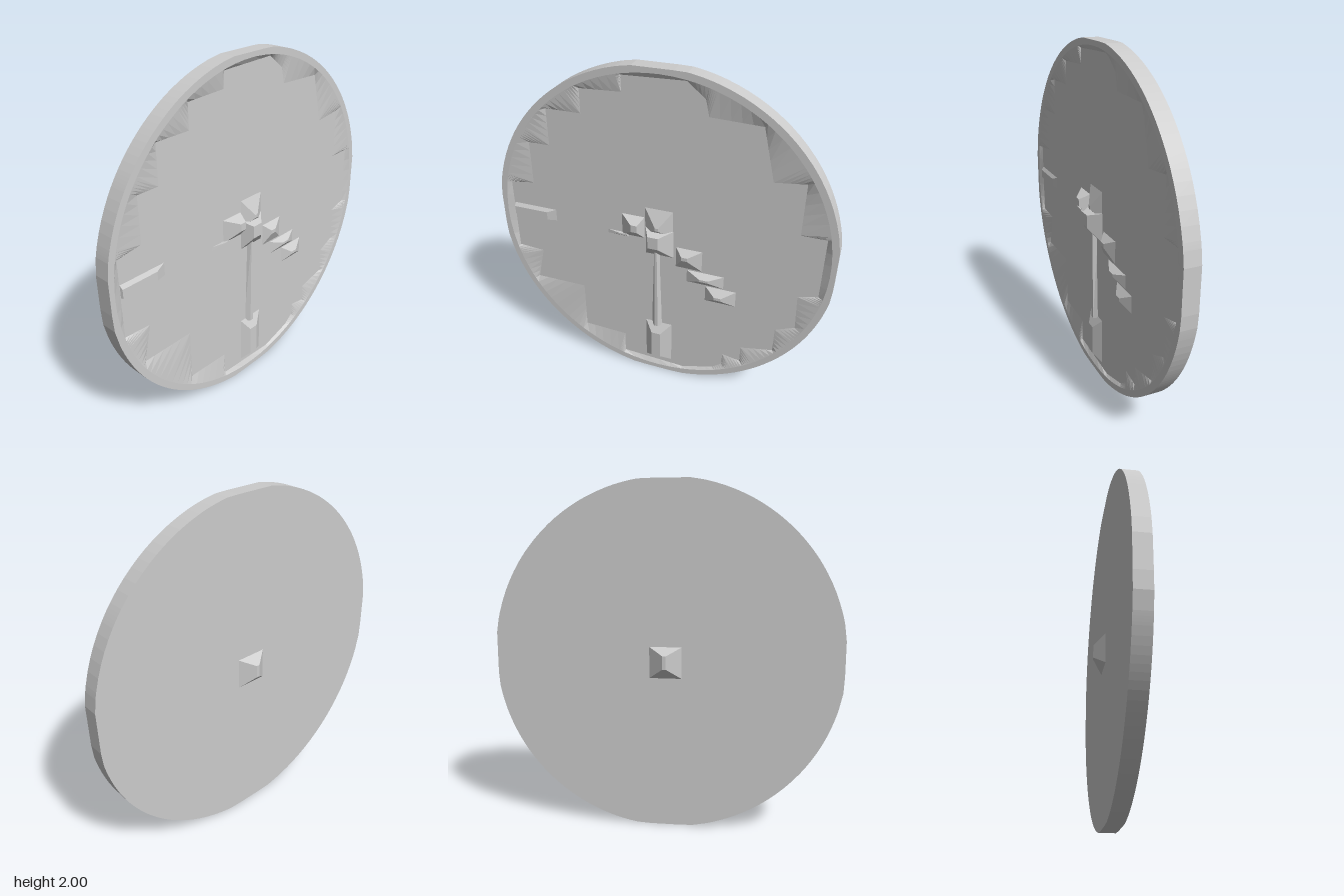
import * as THREE from 'three';

const material = new THREE.MeshStandardMaterial({ color: 0xcccccc, flatShading: true });

// Closed skin through equal-length loops of [x, y, z] points
function skin(loops) {
  const n = loops[0].length, index = [];
  for (let r = 0; r < loops.length - 1; r++) {
    for (let i = 0; i < n; i++) {
      const a = r * n + i, b = r * n + (i + 1) % n;
      index.push(a, b, a + n, b, b + n, a + n);
    }
  }
  const geometry = new THREE.BufferGeometry();
  geometry.setAttribute('position', new THREE.Float32BufferAttribute(loops.flat(2), 3));
  geometry.setIndex(index);
  const flat = geometry.toNonIndexed();
  flat.computeVertexNormals();
  return flat;
}

// Box whose outer end shrinks to (sx, sy) of its size and shifts by (dx, dy)
function facet(name, [x0, x1], [y0, y1], [z0, z1], [sx, sy], [dx, dy] = [0, 0]) {
  const w = x1 - x0, h = y1 - y0, d = Math.abs(z1 - z0);
  const geometry = new THREE.BoxGeometry(w, h, d);
  const p = geometry.attributes.position;
  const outer = Math.sign(z1 - z0);
  for (let i = 0; i < p.count; i++) {
    if (p.getZ(i) * outer > 0) p.setXY(i, p.getX(i) * sx + dx, p.getY(i) * sy + dy);
  }
  geometry.computeVertexNormals();
  const mesh = new THREE.Mesh(geometry, material);
  mesh.name = name;
  mesh.position.set((x0 + x1) / 2, (y0 + y1) / 2, (z0 + z1) / 2);
  return mesh;
}

// Stepped inner edge of the rim, counterclockwise about the dial centre
const steps = [
  [0.93, -0.17], [0.93, 0.2], [0.79, 0.2], [0.79, 0.5], [0.62, 0.48], [0.55, 0.77],
  [0.27, 0.78], [0.25, 0.87], [0.15, 0.95], [-0.2, 0.94], [-0.2, 0.85], [-0.44, 0.84],
  [-0.44, 0.7], [-0.65, 0.7], [-0.65, 0.48], [-0.78, 0.48], [-0.78, 0.22], [-0.93, 0.2],
  [-0.93, -0.25], [-0.77, -0.26], [-0.82, -0.47], [-0.5, -0.47], [-0.5, -0.78],
  [-0.23, -0.79], [-0.23, -0.93], [0.16, -0.95], [0.36, -0.89], [0.42, -0.84],
  [0.42, -0.76], [0.53, -0.78], [0.53, -0.67], [0.72, -0.63], [0.72, -0.47],
  [0.83, -0.42], [0.82, -0.2],
];

function makeDial() {
  const back = -0.045, front = 0.048, face = 0.032, parts = 5;
  const inner = [];
  steps.forEach(([x, y], i) => {
    const [nx, ny] = steps[(i + 1) % steps.length];
    for (let k = 0; k < parts; k++) {
      const t = k / parts;
      inner.push([x + (nx - x) * t, y + (ny - y) * t]);
    }
  });
  // Circle slightly flattened at its four extremes
  const clamp = (v) => Math.max(-1, Math.min(1, v));
  const ring = (radius, z) => inner.map(([x, y]) => {
    const a = Math.atan2(y, x);
    return [clamp(radius * Math.cos(a)), 1 + clamp(radius * Math.sin(a)), z];
  });
  const mesh = new THREE.Mesh(skin([
    ring(0, back), ring(1.01, back), ring(1.01, front), ring(0.972, front),
    inner.map(([x, y]) => [x, 1 + y, face]), ring(0, face),
  ]), material);
  mesh.name = 'dial';
  return mesh;
}

export function createModel() {
  const group = new THREE.Group();
  group.name = 'wallClock';
  const base = 0.025;
  group.add(makeDial());

  // Hub on the front and its mount on the back
  group.add(
    facet('hubUpper', [-0.09, 0.1], [1.02, 1.21], [base, 0.075], [0.1, 0.1], [0, -0.03]),
    facet('hubLower', [-0.08, 0.1], [0.88, 1.07], [base, 0.098], [0.35, 0.4], [-0.02, 0.03]),
    facet('backMount', [-0.1, 0.1], [0.88, 1.07], [-0.04, -0.105], [0.1, 0.4], [0, 0.01]),
  );

  // Short tail of the hour hand
  group.add(
    facet('hourHandTail', [-0.23, -0.08], [0.98, 1.13], [base, 0.095], [0.25, 0.3], [0.03, 0.02]),
    facet('hourHandTailTip', [-0.34, -0.18], [0.97, 1.0], [base, 0.05], [0.3, 0.3], [0.05, 0.01]),
  );

  // Hour hand in overlapping faceted steps
  const hourSteps = [
    [[0.1, 0.28], [0.82, 0.975], [-0.02, 0.02]],
    [[0.16, 0.415], [0.735, 0.83], [0, 0.01]],
    [[0.28, 0.49], [0.625, 0.745], [-0.01, 0]],
  ];
  hourSteps.forEach(([x, y, shift], i) =>
    group.add(facet('hourHand' + (i + 1), x, y, [base, 0.068], [0.2, 0.15], shift)));

  // Minute hand: slender shaft and wide faceted end
  const shaft = facet('minuteHandShaft', [-0.045, 0.03], [0.36, 0.92], [base, 0.055], [0.3, 1]);
  const p = shaft.geometry.attributes.position;
  for (let i = 0; i < p.count; i++) if (p.getY(i) > 0) p.setX(i, p.getX(i) * 0.55);
  shaft.geometry.computeVertexNormals();
  group.add(
    shaft,
    facet('minuteHandTip', [-0.09, 0.1], [0.08, 0.39], [base, 0.068], [0.3, 0.6], [-0.01, -0.02]),
  );

  // Hour mark on the right-hand side of the wearer's view
  group.add(facet('hourMark', [-0.93, -0.62], [0.985, 1.07], [base, 0.046], [0.7, 0.6], [-0.04, -0.015]));

  return group;
}
